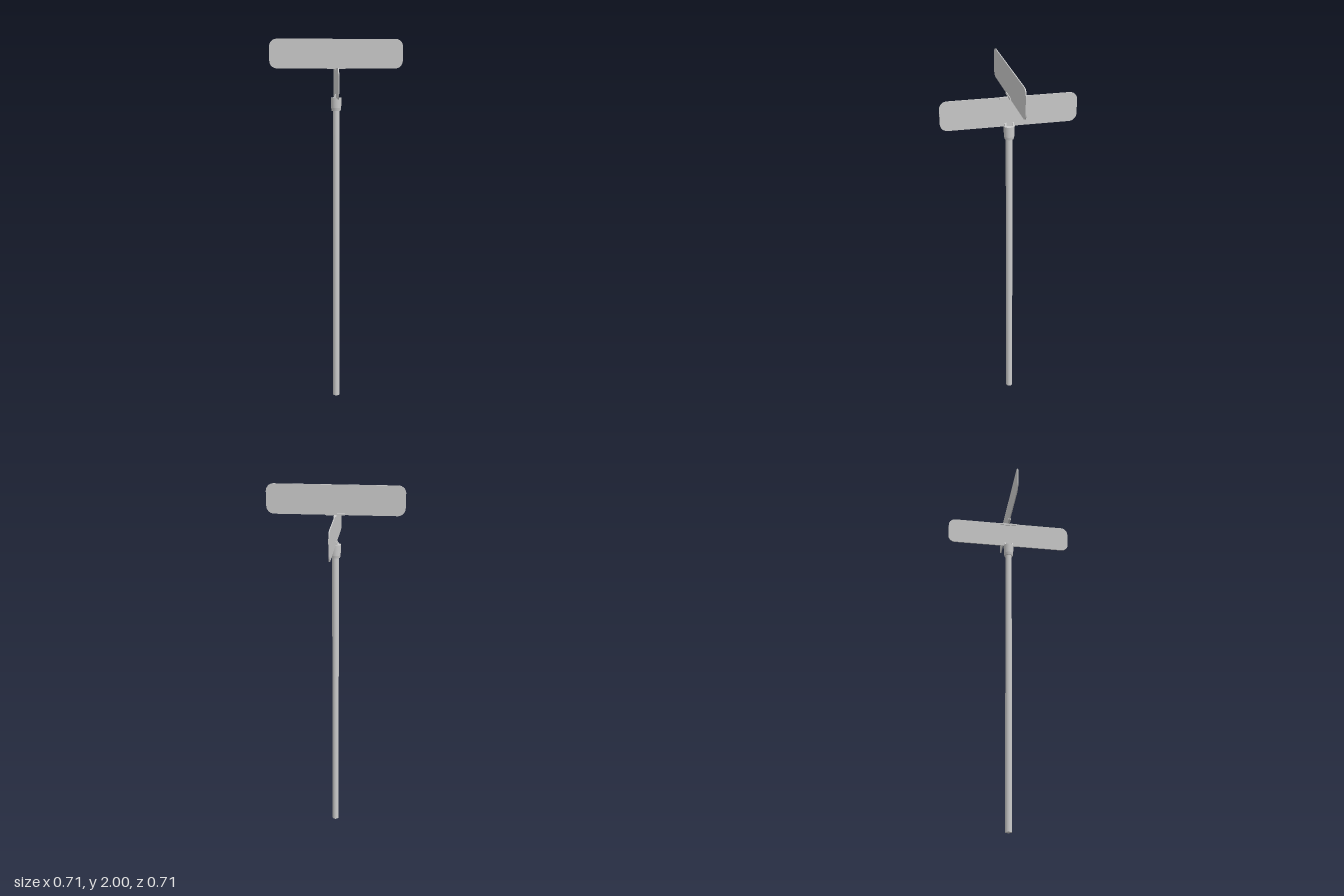
import * as THREE from 'three';

const material = new THREE.MeshStandardMaterial({ color: 0xcccccc });

function add(parent, name, geometry, y = 0, z = 0) {
  const mesh = new THREE.Mesh(geometry, material);
  mesh.name = name;
  mesh.position.set(0, y, z);
  parent.add(mesh);
  return mesh;
}

// Thin plate with rounded corners, centred on the origin, facing +z
function plateGeometry(width, height, radius, depth) {
  const w = width / 2, h = height / 2, r = radius;
  const shape = new THREE.Shape();
  shape.absarc(w - r, h - r, r, 0, Math.PI / 2);
  shape.absarc(-w + r, h - r, r, Math.PI / 2, Math.PI);
  shape.absarc(-w + r, -h + r, r, Math.PI, Math.PI * 1.5);
  shape.absarc(w - r, -h + r, r, Math.PI * 1.5, Math.PI * 2);
  const geometry = new THREE.ExtrudeGeometry(shape, { depth, bevelEnabled: false, curveSegments: 8 });
  return geometry.translate(0, 0, -depth / 2);
}

export function createModel() {
  const model = new THREE.Group();
  model.name = 'streetSignPost';

  // Round post
  add(model, 'post', new THREE.CylinderGeometry(0.018, 0.018, 1.63, 32), 0.815);

  // Cap over the top of the post, with a small chamfer below
  add(model, 'postCap', new THREE.CylinderGeometry(0.029, 0.027, 0.055, 32), 1.6625);
  add(model, 'postCapChamfer', new THREE.CylinderGeometry(0.027, 0.024, 0.015, 32), 1.6275);

  // Two crossed street name blades
  const plate = plateGeometry(0.714, 0.155, 0.04, 0.005);
  add(model, 'upperBlade', plate, 1.9225);
  add(model, 'lowerBlade', plate, 1.7675).rotation.y = Math.PI / 2;

  // Sloped grips on the cap, either side of the lower blade
  const profile = new THREE.Shape();
  profile.moveTo(-0.017, 0);
  profile.lineTo(0.017, 0);
  profile.lineTo(0.005, 0.02);
  profile.lineTo(-0.005, 0.02);
  const grip = new THREE.ExtrudeGeometry(profile, { depth: 0.009, bevelEnabled: false });
  grip.translate(0, 0, -0.0045);
  for (const side of [-1, 1]) add(model, 'capGrip', grip, 1.689, side * 0.02);

  // Crossed saddles clamping the blades together
  const bracket = new THREE.Group();
  bracket.name = 'crossBracket';
  const saddle = new THREE.BoxGeometry(0.098, 0.012, 0.013);
  add(bracket, 'upperSaddle', saddle, 1.849);
  add(bracket, 'lowerSaddle', saddle, 1.839).rotation.y = Math.PI / 2;
  model.add(bracket);

  return model;
}
